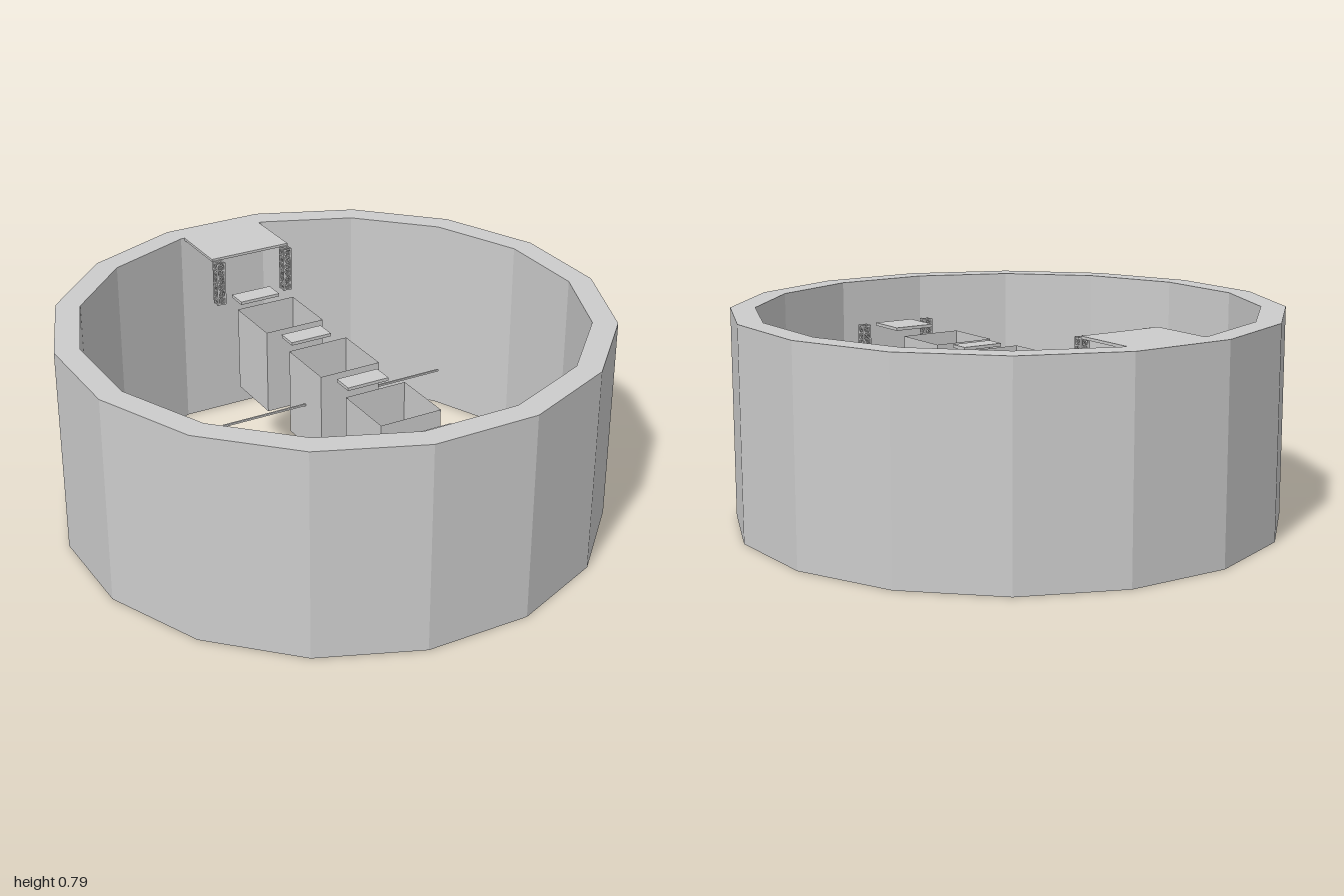
import * as THREE from 'three';
import { mergeGeometries } from 'three/addons/utils/BufferGeometryUtils.js';

const HEIGHT = 0.787;

export function createModel() {
  const model = new THREE.Group();
  model.name = 'arena';
  const grey = new THREE.MeshStandardMaterial({ color: 0xcccccc, side: THREE.DoubleSide });
  grey.name = 'light grey';

  const add = (name, geometry, x = 0, y = 0, z = 0) => {
    const mesh = new THREE.Mesh(geometry, grey);
    mesh.name = name;
    mesh.position.set(x, y, z);
    model.add(mesh);
    return mesh;
  };

  // Box given by its size and the height of its top face
  const slab = (name, w, h, d, top, z) =>
    add(name, new THREE.BoxGeometry(w, h, d), 0, top - h / 2, z);

  // Sixteen-sided outline with flats facing the axes
  const outline = (apothem) => {
    const r = apothem / Math.cos(Math.PI / 16);
    return Array.from({ length: 16 }, (_, i) => {
      const a = ((i + 0.5) * Math.PI) / 8;
      return new THREE.Vector2(r * Math.cos(a), r * Math.sin(a));
    });
  };

  // Surrounding wall
  const ring = new THREE.Shape(outline(1));
  ring.holes.push(new THREE.Path(outline(0.91)));
  const wall = new THREE.ExtrudeGeometry(ring, { depth: HEIGHT, bevelEnabled: false });
  wall.rotateX(-Math.PI / 2);
  add('outerWall', wall);

  // Start platform at the rim, end platform at the floor
  slab('upperPlatform', 0.33, 0.01, 0.255, HEIGHT, -0.7925);
  slab('lowerPlatform', 0.33, 0.01, 0.255, 0.01, 0.7875);

  // Square shafts, open at top and bottom
  for (const z of [-0.42, 0, 0.42]) {
    const shaft = new THREE.CylinderGeometry(0.12 * Math.SQRT2, 0.12 * Math.SQRT2, 0.333, 4, 1, true)
      .rotateY(Math.PI / 4).toNonIndexed();
    shaft.computeVertexNormals();
    add('openShaft', shaft, 0, 0.4485, z);
  }

  // Stepping plates between the shafts, and the landing plate
  for (const z of [-0.625, -0.21, 0.21]) slab('steppingPlate', 0.166, 0.012, 0.08, 0.62, z);
  slab('landingPlate', 0.166, 0.012, 0.16, 0.628, 0.74);

  // Cross rod through the middle shaft
  slab('crossRod', 0.91, 0.007, 0.007, 0.452, 0);

  // Small plaque on the inner wall
  slab('wallPlaque', 0.14, 0.03, 0.006, 0.152, 0.906);

  // Lattice mast: four posts, level rungs and diagonal braces
  const mast = (bottom, top) => {
    const parts = [], half = 0.015, t = 0.007, h = top - bottom;
    const bays = Math.round(h / 0.03), bay = h / bays;
    for (let side = 0; side < 4; side++) {
      const face = [new THREE.BoxGeometry(t, h, t).translate(half, bottom + h / 2, half)];
      for (let i = 0; i <= bays; i++) {
        const y = Math.min(Math.max(bottom + i * bay, bottom + t / 2), top - t / 2);
        face.push(new THREE.BoxGeometry(2 * half, t * 0.8, t * 0.8).translate(0, y, half));
        if (i === bays) continue;
        const angle = Math.atan2(bay, 2 * half) * (i % 2 ? -1 : 1);
        face.push(new THREE.BoxGeometry(Math.hypot(bay, 2 * half), t * 0.6, t * 0.6)
          .rotateZ(angle).translate(0, bottom + (i + 0.5) * bay, half));
      }
      parts.push(mergeGeometries(face).rotateY((side * Math.PI) / 2));
    }
    return mergeGeometries(parts);
  };
  for (const x of [-0.145, 0.145]) {
    add('hangingMast', mast(0.605, 0.78), x, 0, -0.645);
    add('standingMast', mast(0.008, 0.627), x, 0, 0.805);
  }

  return model;
}
